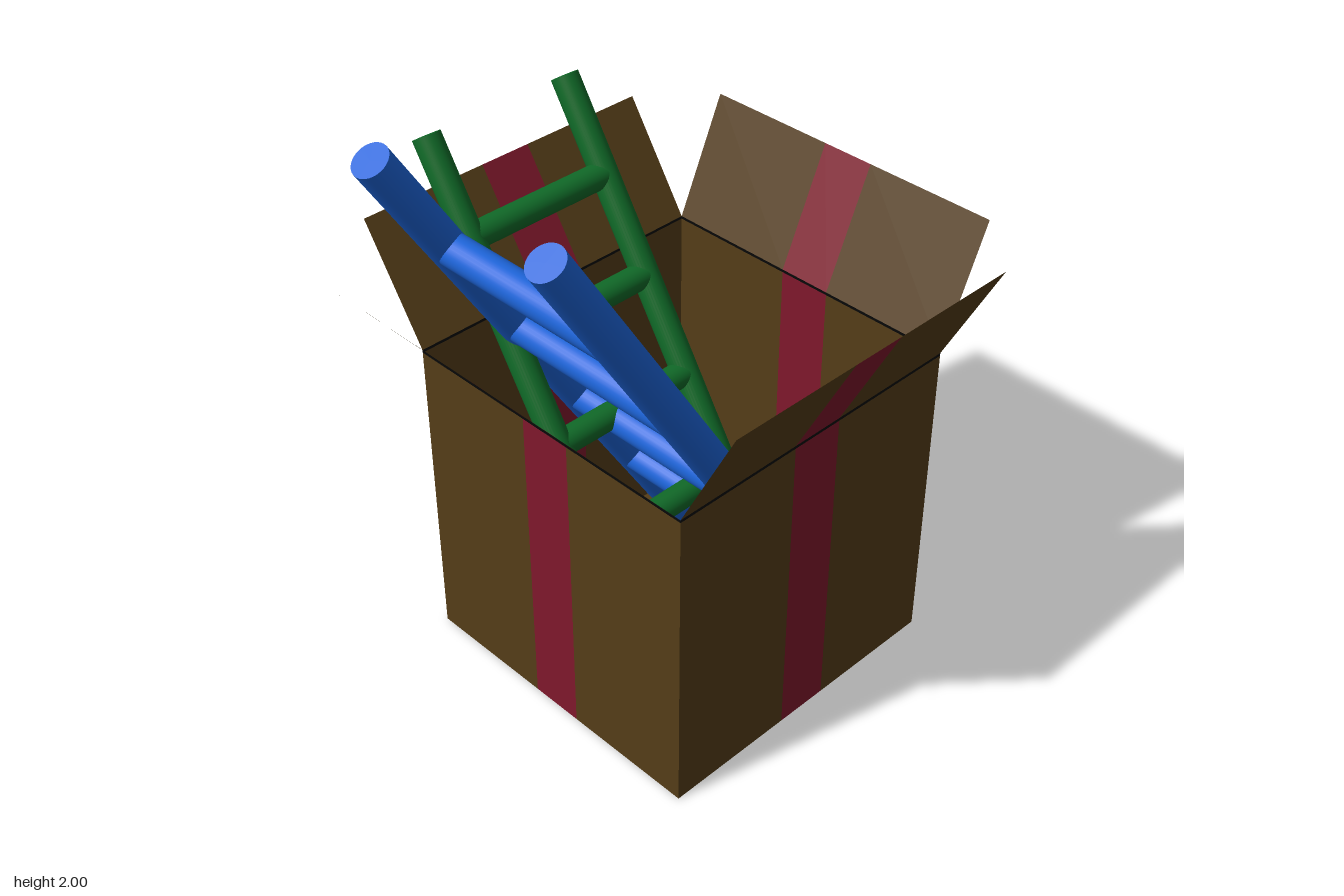
import * as THREE from 'three';

const mat = (color, side = THREE.FrontSide) => new THREE.MeshStandardMaterial({ color, side });
const card = mat(0x553d18, THREE.DoubleSide);
const tape = mat(0x80182c, THREE.DoubleSide);
const black = mat(0x080808, THREE.DoubleSide);
const blue = mat(0x1d64d8);
const green = mat(0x106a28);

const SIZE = 1.13, TAPE = 0.19, SEAM = 0.01, FLAP = 0.44;
const SIDE = (SIZE - TAPE) / 2, OFFSET = (SIZE + TAPE) / 4;

function sheet(parent, name, w, h, x, y, material) {
  const m = new THREE.Mesh(new THREE.PlaneGeometry(w, h), material);
  m.name = name;
  m.position.set(x, y, 0);
  parent.add(m);
}

// Cardboard sheet with a strip of tape up the middle, standing on its lower edge
function panel(name, h) {
  const g = new THREE.Group();
  g.name = name;
  for (const s of [-1, 1]) sheet(g, name + 'Card', SIDE, h, s * OFFSET, h / 2, card);
  sheet(g, name + 'Tape', TAPE, h, 0, h / 2, tape);
  return g;
}

function createBox() {
  const box = new THREE.Group();
  box.name = 'cardboardBox';

  // Four walls, each with a dark crease and a flap folded outward
  const sides = [['front', 0.2], ['left', 0.18], ['back', 0.24], ['right', 0.28]];
  sides.forEach(([name, reach], i) => {
    const side = new THREE.Group();
    side.name = name + 'Side';
    side.add(panel(name + 'Wall', SIZE - SEAM / 2));
    sheet(side, name + 'Crease', SIZE, SEAM, 0, SIZE, black);
    const flap = panel(name + 'Flap', FLAP);
    flap.position.y = SIZE + SEAM / 2;
    flap.rotation.x = Math.asin(reach / FLAP);
    side.add(flap);
    const pivot = new THREE.Group();
    pivot.rotation.y = i * Math.PI / 2;
    side.position.z = SIZE / 2;
    pivot.add(side);
    box.add(pivot);
  });

  // Floor with crossed tape
  const floor = new THREE.Group();
  floor.name = 'floor';
  floor.rotation.x = -Math.PI / 2;
  for (const i of [-1, 0, 1]) for (const j of [-1, 0, 1]) {
    const taped = i === 0 || j === 0;
    sheet(floor, taped ? 'floorTape' : 'floorCard', i ? SIDE : TAPE, j ? SIDE : TAPE,
      i * OFFSET, j * OFFSET, taped ? tape : card);
  }
  box.add(floor);
  box.position.set(0.055, 0, 0.025);
  return box;
}

function rod(name, a, b, r, material) {
  const dir = b.clone().sub(a);
  const m = new THREE.Mesh(new THREE.CylinderGeometry(r, r, dir.length(), 32), material);
  m.name = name;
  m.position.copy(a).add(b).multiplyScalar(0.5);
  m.quaternion.setFromUnitVectors(new THREE.Vector3(0, 1, 0), dir.normalize());
  return m;
}

// Ladder from its top to its foot; at(u, y, side) places a point, u along the lean
function ladder(name, at, top, foot, rungs, railR, rungR, material) {
  const g = new THREE.Group();
  g.name = name;
  const height = u => THREE.MathUtils.mapLinear(u, top[0], foot[0], top[1], foot[1]);
  for (const s of [0, 1]) g.add(rod('rail', at(...foot, s), at(...top, s), railR, material));
  for (const u of rungs) g.add(rod('rung', at(u, height(u), 0), at(u, height(u), 1), rungR, material));
  return g;
}

export function createModel() {
  const model = new THREE.Group();
  model.name = 'boxWithLadders';
  model.add(createBox());

  // Large ladder leaning to the right side
  model.add(ladder('blueLadder', (u, y, s) => new THREE.Vector3(u, y, s ? 0.345 : -0.37),
    [-0.746, 1.968], [0.46, 0.035], [-0.51, -0.267, -0.024, 0.215], 0.06, 0.055, blue));

  // Small ladder leaning to the back
  model.add(ladder('greenLadder', (u, y, s) => new THREE.Vector3(s ? 0.29 : -0.275, y, u),
    [-0.746, 1.714], [0.19, 0.22], [-0.566, -0.378, -0.19, 0], 0.047, 0.045, green));
  return model;
}
